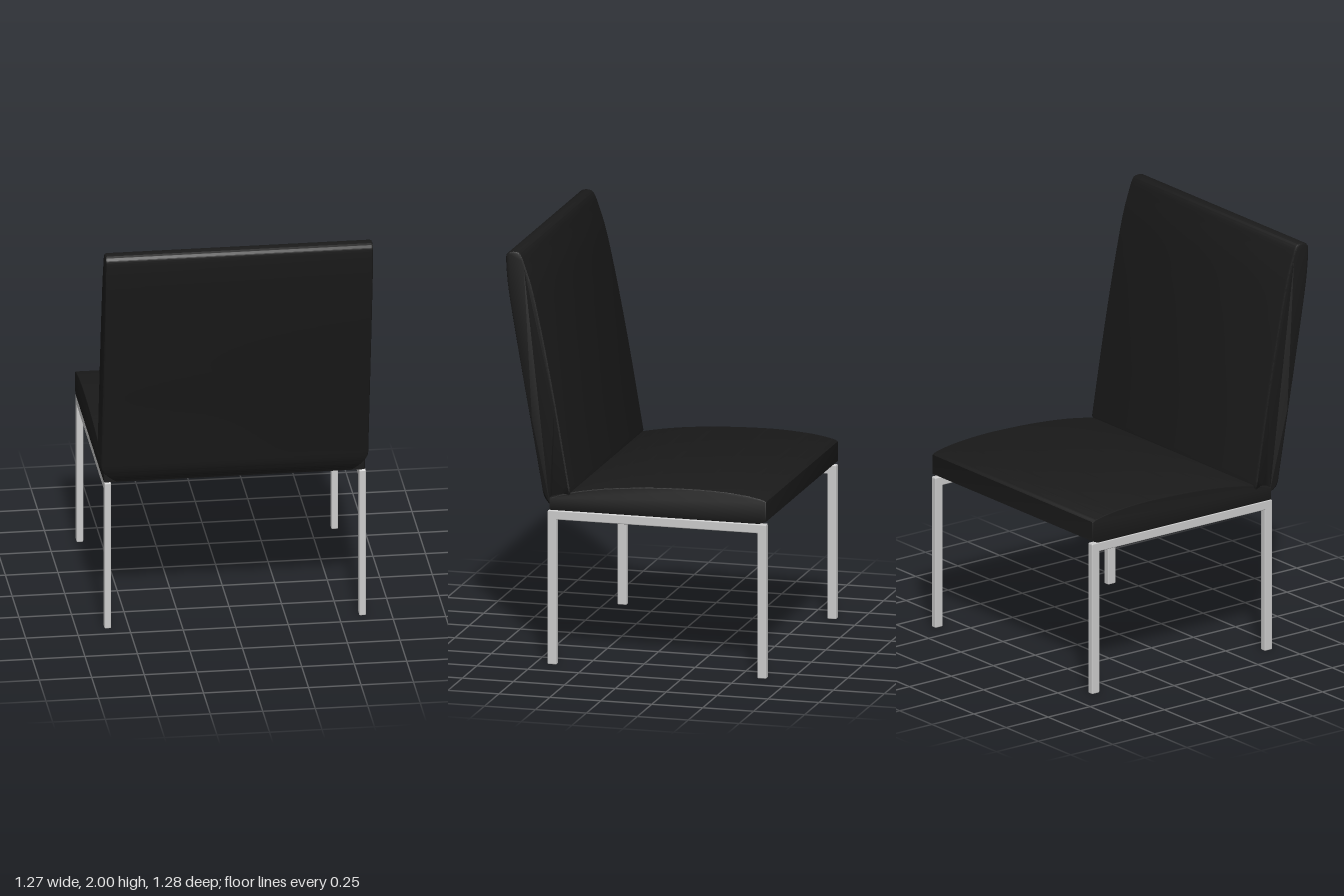
import * as THREE from 'three';
import { toCreasedNormals } from 'three/addons/utils/BufferGeometryUtils.js';
import { RoundedBoxGeometry } from 'three/addons/geometries/RoundedBoxGeometry.js';

const fabric = new THREE.MeshStandardMaterial({ color: 0x1a1a1a });
const metal = new THREE.MeshStandardMaterial({ color: 0xcccccc });

// Cushion: a side outline in (z, y), extruded across the width with a small edge bevel
function cushion(shape, xMin, xMax, bevel) {
  const geo = new THREE.ExtrudeGeometry(shape, {
    depth: xMax - xMin - 2 * bevel, curveSegments: 36,
    bevelEnabled: true, bevelThickness: bevel, bevelSize: bevel, bevelOffset: -bevel, bevelSegments: 2,
  });
  geo.translate(0, 0, xMin + bevel);
  geo.rotateY(Math.PI / 2);
  return geo;
}

// Outline points are given as [z, y]; the extrusion turns shape x into -z
const points = (list) => list.map(([z, y]) => new THREE.Vector2(-z, y));

function addMesh(parent, name, geometry, material) {
  const mesh = new THREE.Mesh(geometry, material);
  mesh.name = name;
  parent.add(mesh);
  return mesh;
}

export function createModel() {
  const chair = new THREE.Group();
  chair.name = 'chair';

  // Seat: flat underneath, gently crowned on top
  const seatShape = new THREE.Shape();
  seatShape.moveTo(-0.43, 0.75);
  seatShape.lineTo(0.6, 0.75);
  seatShape.lineTo(0.635, 0.765);
  seatShape.lineTo(0.635, 0.86);
  seatShape.splineThru(points([[-0.61, 0.871], [-0.53, 0.886], [-0.42, 0.896], [-0.3, 0.9],
    [-0.15, 0.897], [0, 0.889], [0.16, 0.873], [0.32, 0.845], [0.43, 0.81]]));
  addMesh(chair, 'seat', toCreasedNormals(cushion(seatShape, -0.62, 0.625, 0.006), 0.6), fabric);

  // Backrest: leaning, tapering to a rounded top
  const backShape = new THREE.Shape();
  backShape.moveTo(-0.44, 0.755);
  backShape.lineTo(-0.37, 0.745);
  backShape.lineTo(-0.335, 0.78);
  backShape.lineTo(-0.323, 0.85);
  backShape.splineThru(points([[0.38, 1.185], [0.423, 1.42], [0.466, 1.635], [0.508, 1.82],
    [0.545, 1.935], [0.563, 1.98], [0.58, 1.997], [0.61, 1.999], [0.633, 1.987], [0.641, 1.955],
    [0.63, 1.82], [0.598, 1.62], [0.55, 1.345], [0.508, 1.11], [0.466, 0.87], [0.456, 0.81], [0.44, 0.755]]));
  const backGeo = cushion(backShape, -0.637, 0.637, 0.01);
  // Round off the lower corners by narrowing towards the bottom
  const pos = backGeo.attributes.position;
  for (let i = 0; i < pos.count; i++) {
    const t = Math.max(0, (0.85 - pos.getY(i)) / 0.1);
    pos.setX(i, pos.getX(i) * (1 - 0.13 * t * t));
  }
  addMesh(chair, 'backrest', toCreasedNormals(backGeo, 0.6), fabric);

  // Metal frame: two sides, each with a rail and two legs
  for (const [side, x] of [['right', -0.601], ['left', 0.612]]) {
    const frame = new THREE.Group();
    frame.name = side + 'Frame';
    chair.add(frame);
    addMesh(frame, side + 'Rail', new RoundedBoxGeometry(0.032, 0.045, 1.07, 2, 0.005), metal)
      .position.set(x, 0.7275, -0.1);
    for (const [end, z] of [['front', -0.613], ['back', 0.416]]) {
      addMesh(frame, end + 'Leg', new RoundedBoxGeometry(0.032, 0.748, 0.045, 2, 0.005), metal)
        .position.set(x, 0.374, z);
    }
  }
  return chair;
}
